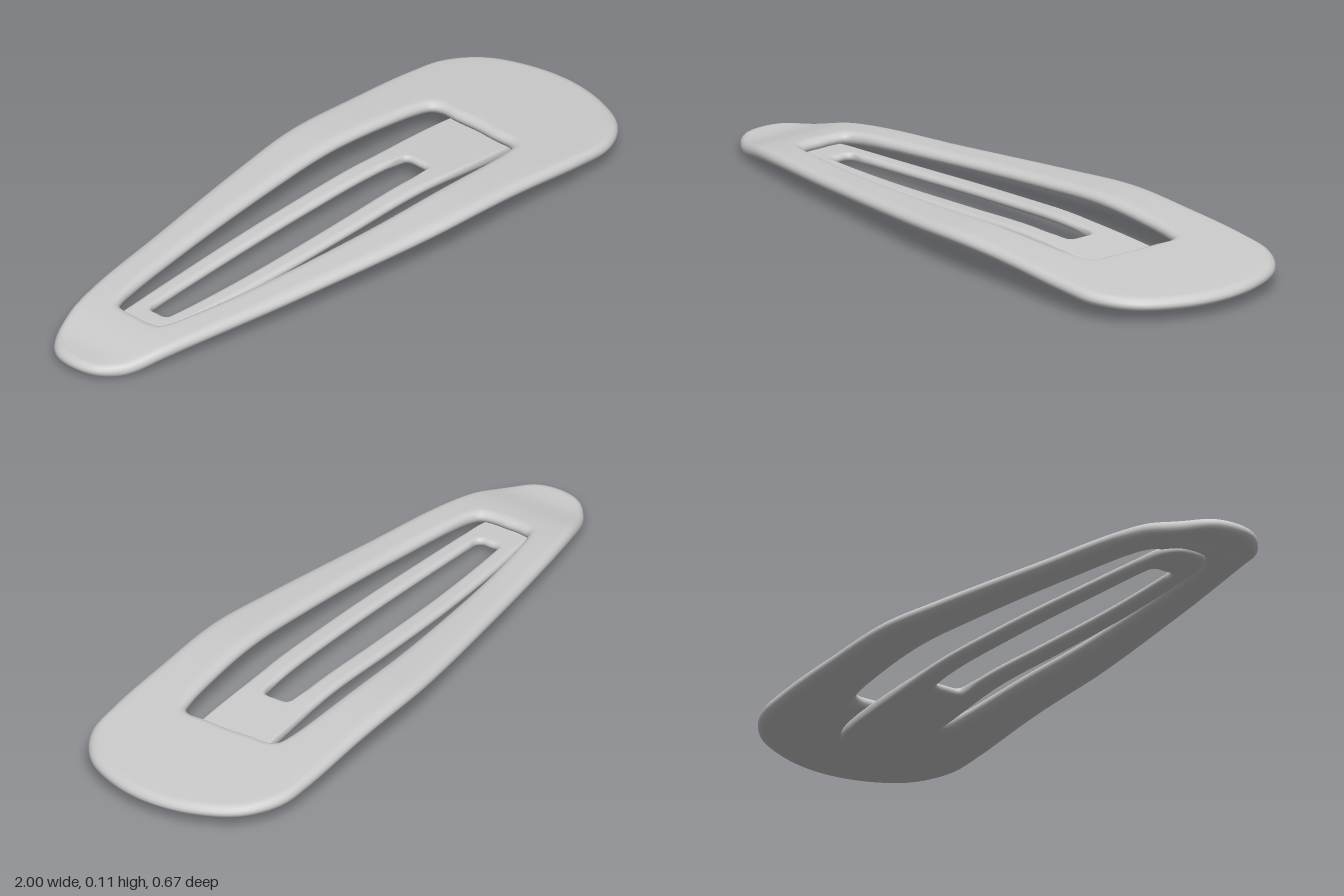
import * as THREE from 'three';

// Closed, x-axis-mirrored outline from the +z half, sampled evenly per control point
function outline(half, per) {
  const pts = [...half, ...half.slice(1, -1).reverse().map(([x, z]) => [x, -z])]
    .map(([x, z]) => new THREE.Vector3(x, 0, z));
  const curve = new THREE.CatmullRomCurve3(pts, true, 'centripetal');
  const n = pts.length * per;
  return Array.from({ length: n }, (_, i) => curve.getPoint(i / n));
}

// Smooth centre height along x
function heightAlongX(points) {
  const spline = new THREE.CubicInterpolant(points.map(p => p[0]), points.map(p => p[1]), 1);
  return x => spline.evaluate(x)[0];
}

// Rounded plate between an outer and an inner outline, bent to follow height(x)
function ringPlate(name, outerHalf, innerHalf, height, thickness, bevel, material) {
  const outer = outline(outerHalf, 6), inner = outline(innerHalf, 6);
  const h = thickness / 2, arc = 4, flat = 6;

  // Cross-section of a given width, from outer rim over the top to the inner rim and back below
  const section = width => {
    const b = Math.min(bevel, width * 0.45), top = [];
    for (let k = 0; k <= arc; k++) {
      const a = (k / arc) * Math.PI / 2;
      top.push([b * (1 - Math.cos(a)), h * Math.sin(a)]);
    }
    for (let k = 1; k < flat; k++) top.push([b + (width - 2 * b) * k / flat, h]);
    for (let k = arc; k >= 0; k--) {
      const a = (k / arc) * Math.PI / 2;
      top.push([width - b * (1 - Math.cos(a)), h * Math.sin(a)]);
    }
    return [...top, ...top.slice(1, -1).reverse().map(([d, y]) => [d, -y])];
  };

  const position = [], index = [];
  const n = outer.length, m = section(1).length;
  const p = new THREE.Vector3();
  for (let i = 0; i < n; i++) {
    const width = outer[i].distanceTo(inner[i]);
    for (const [d, y] of section(width)) {
      p.lerpVectors(outer[i], inner[i], d / width);
      position.push(p.x, height(p.x) + y, p.z);
    }
    for (let j = 0; j < m; j++) {
      const i2 = (i + 1) % n, j2 = (j + 1) % m;
      const a = i * m + j, b = i2 * m + j, c = i2 * m + j2, e = i * m + j2;
      index.push(a, b, c, a, c, e);
    }
  }
  const geometry = new THREE.BufferGeometry();
  geometry.setAttribute('position', new THREE.Float32BufferAttribute(position, 3));
  geometry.setIndex(index);
  geometry.computeVertexNormals();
  const mesh = new THREE.Mesh(geometry, material);
  mesh.name = name;
  return mesh;
}

export function createModel() {
  const group = new THREE.Group();
  group.name = 'hairClip';
  const material = new THREE.MeshStandardMaterial({ color: 0xcccccc });

  // Outer frame: teardrop plate with a long opening
  const frameOuter = [[-1, 0], [-0.985, 0.07], [-0.93, 0.125], [-0.85, 0.162], [-0.7, 0.2],
    [-0.4, 0.25], [0, 0.31], [0.2, 0.332], [0.45, 0.333], [0.7, 0.333], [0.82, 0.318],
    [0.92, 0.25], [0.98, 0.13], [1, 0]];
  const frameInner = [[-0.73, 0], [-0.73, 0.045], [-0.72, 0.08], [-0.69, 0.095], [-0.6, 0.112],
    [-0.35, 0.145], [0, 0.175], [0.2, 0.183], [0.4, 0.178], [0.55, 0.167], [0.595, 0.155],
    [0.61, 0.13], [0.61, 0.07], [0.613, 0]];
  const frameHeight = heightAlongX([[-1, 0.025], [-0.92, 0.022], [-0.8, 0.045], [-0.4, 0.065],
    [0, 0.084], [0.25, 0.095], [0.5, 0.085], [0.8, 0.062], [1, 0.048]]);
  group.add(ringPlate('frame', frameOuter, frameInner, frameHeight, 0.04, 0.03, material));

  // Spring tongue: slotted strip under the frame, square at the wide end
  const tongueOuter = [[-0.8, 0], [-0.79, 0.04], [-0.75, 0.07], [-0.65, 0.085], [-0.3, 0.107],
    [0, 0.112], [0.3, 0.11], [0.7, 0.108], [0.76, 0.09], [0.78, 0.05], [0.78, 0]];
  const tongueInner = [[-0.65, 0], [-0.65, 0.022], [-0.64, 0.035], [-0.6, 0.038], [-0.3, 0.05],
    [0, 0.052], [0.3, 0.047], [0.37, 0.044], [0.38, 0.035], [0.383, 0.02], [0.383, 0]];
  const tongueHeight = heightAlongX([[-0.8, 0.026], [-0.4, 0.037], [0, 0.055], [0.25, 0.064],
    [0.5, 0.052], [0.78, 0.032]]);
  group.add(ringPlate('tongue', tongueOuter, tongueInner, tongueHeight, 0.026, 0.015, material));

  return group;
}
